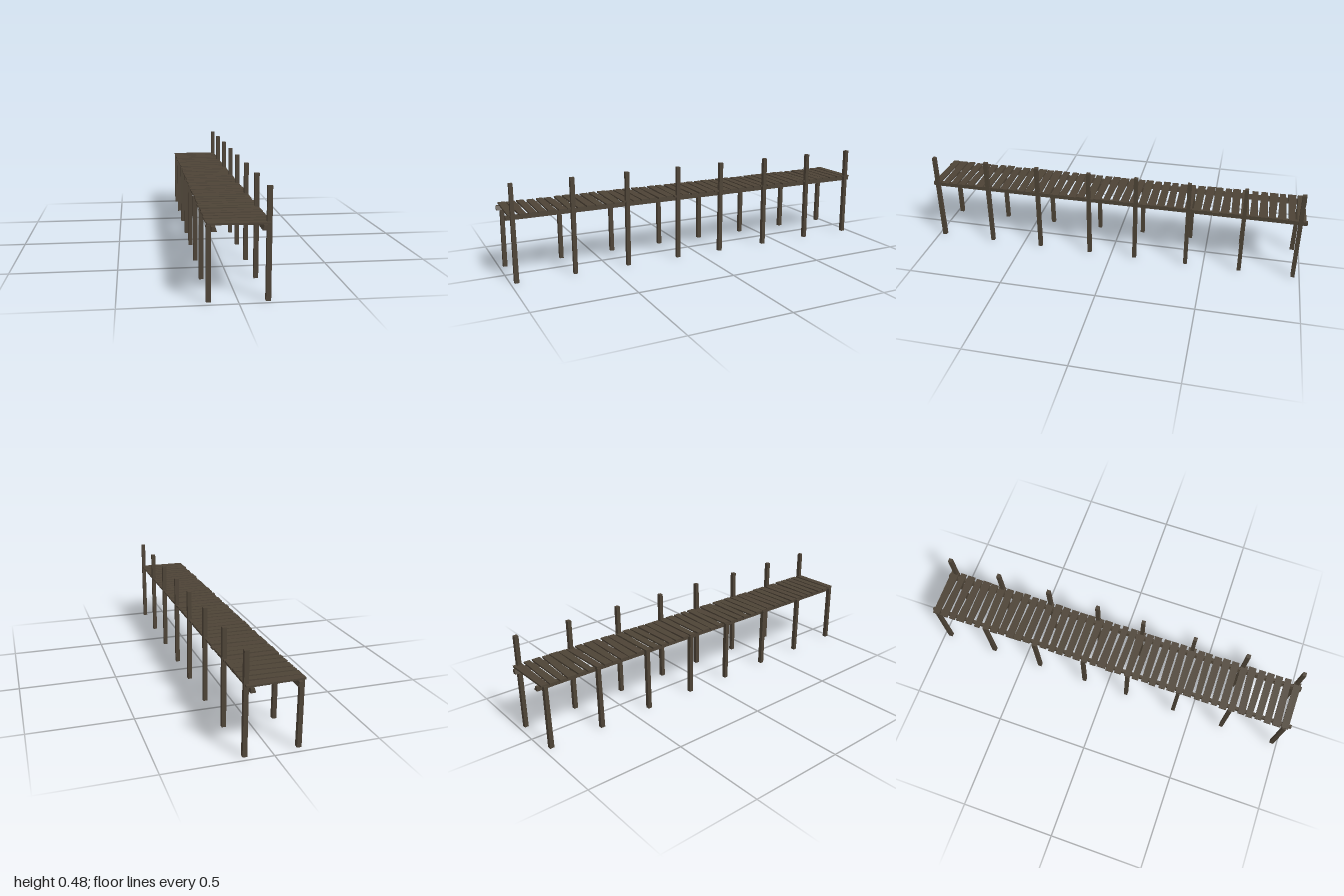
import * as THREE from 'three';

const wood = new THREE.MeshStandardMaterial({ color: 0x4d4336, flatShading: true });
wood.name = 'weathered wood';

// Small seeded generator: values from -1 to 1
let seed = 11;
function wobble() {
  seed = (seed * 16807) % 2147483647;
  return (seed / 2147483647) * 2 - 1;
}

// Box whose corners are moved by a rule
function timber(name, w, h, d, rule) {
  const geo = new THREE.BoxGeometry(w, h, d);
  const p = geo.attributes.position;
  const v = new THREE.Vector3();
  for (let i = 0; i < p.count; i++) {
    v.fromBufferAttribute(p, i);
    rule(v);
    p.setXYZ(i, v.x, v.y, v.z);
  }
  geo.computeVertexNormals();
  const mesh = new THREE.Mesh(geo, wood);
  mesh.name = name;
  return mesh;
}

// Upright post, slightly uneven from bottom to top
function post(name, x, z, bottom, top) {
  const taper = wobble() * 0.1, lean = wobble() * 0.002;
  const mesh = timber(name, 0.021, top - bottom, 0.02, (v) => {
    const s = Math.sign(v.y);
    v.z = v.z * (1 + taper * s) + lean * s;
  });
  mesh.position.set(x, (top + bottom) / 2, z);
  return mesh;
}

export function createModel() {
  seed = 11;
  const model = new THREE.Group();
  model.name = 'boardwalk';

  // Tall posts on the left, short supports on the right
  const posts = new THREE.Group();
  posts.name = 'posts';
  for (const z of [0.97, 0.68, 0.4, 0.12, -0.13, -0.405, -0.688, -0.965]) {
    posts.add(post('tallPost', 0.125, z, 0, 0.483));
    posts.add(post('shortPost', -0.124, z, 0.005, 0.326));
  }
  model.add(posts);

  // Long beams under the deck, with slanted inner faces
  for (const side of [-1, 1]) {
    const beam = timber(side > 0 ? 'leftBeam' : 'rightBeam', 0.022, 0.021, 2, (v) => {
      if (v.x * side < 0) v.x += side * (v.y > 0 ? 0.006 : -0.001);
    });
    beam.position.set(side * 0.104, 0.3165, 0);
    model.add(beam);
  }

  // Uneven deck planks, wider at one end than at the other
  const deck = new THREE.Group();
  deck.name = 'deck';
  const count = 42;
  for (let i = 0; i < count; i++) {
    const taper = wobble() * 0.16, skew = wobble() * 0.004, tilt = wobble() * 0.0012;
    const plank = timber('plank', 0.264 + wobble() * 0.005, 0.0085, 0.037 + wobble() * 0.003, (v) => {
      const s = Math.sign(v.x);
      v.z = v.z * (1 + taper * s) + skew * s;
      v.y += tilt * s;
    });
    plank.position.set(wobble() * 0.002 - 0.001, 0.332 + wobble() * 0.001, -0.97 + (i * 1.94) / (count - 1));
    deck.add(plank);
  }
  model.add(deck);
  return model;
}
